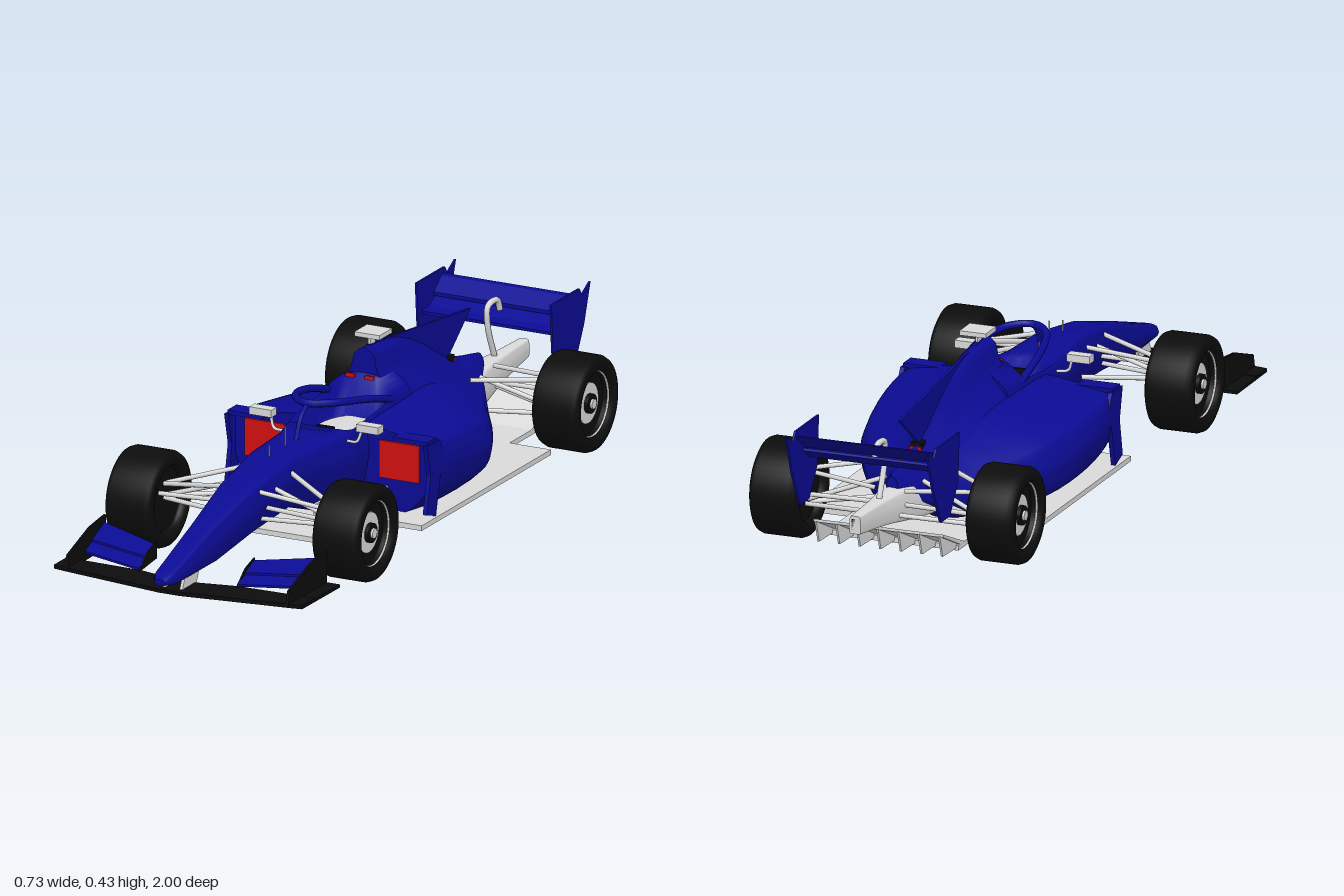
import * as THREE from 'three';

const mat = (name, color, side = THREE.FrontSide) => {
  const m = new THREE.MeshStandardMaterial({ color, side });
  m.name = name;
  return m;
};

export function createModel() {
  const blue = mat('blue paint', 0x0b0b94), white = mat('white', 0xdadada);
  const black = mat('black', 0x0c0c0c, THREE.DoubleSide), red = mat('red', 0xd01010);
  const car = new THREE.Group();
  car.name = 'racingCar';

  const add = (name, geo, m, parent = car) => {
    const mesh = new THREE.Mesh(geo, m);
    mesh.name = name;
    parent.add(mesh);
    return mesh;
  };
  const box = (name, m, w, h, d, x, y, z) =>
    add(name, new THREE.BoxGeometry(w, h, d).translate(x, y, z), m);
  const V = (p) => new THREE.Vector3(...p);
  const tube = (name, m, pts, r, closed = false) =>
    add(name, new THREE.TubeGeometry(new THREE.CatmullRomCurve3(pts.map(V), closed), pts.length > 2 ? 40 : 1, r, 8, closed), m);
  const shapeOf = (pts) => new THREE.Shape(pts.map((p) => new THREE.Vector2(...p)));
  // outline in (z, y), thickness along x, centred on x
  const plate = (name, m, pts, x, t) => add(name,
    new THREE.ExtrudeGeometry(shapeOf(pts), { depth: t, bevelEnabled: false }).rotateY(-Math.PI / 2).translate(x + t / 2, 0, 0), m);
  // outline in (x, z), from y up by t
  const slab = (name, m, pts, y, t) => add(name,
    new THREE.ExtrudeGeometry(shapeOf(pts), { depth: t, bevelEnabled: false }).rotateX(Math.PI / 2).translate(0, y + t, 0), m);
  const mirrored = (half) => [...half, ...half.slice().reverse().map(([x, z]) => [-x, z])];
  const sides = (fn) => [1, -1].forEach(fn);

  // Skin over closed rings [z, points]; rings run counterclockwise seen from the front, front to back
  function loft(name, m, sections, steps = 4, n = 40) {
    const rings = sections.map(([z, pts]) => {
      const c = new THREE.CatmullRomCurve3(pts.map(([x, y]) => new THREE.Vector3(x, y, z)), true, 'catmullrom', 0.28);
      return Array.from({ length: n }, (_, i) => c.getPoint(i / n));
    });
    const rails = Array.from({ length: n }, (_, i) => new THREE.CatmullRomCurve3(rings.map((r) => r[i])));
    const rows = (rings.length - 1) * steps, pos = [], idx = [];
    for (let k = 0; k <= rows; k++) for (const rail of rails) pos.push(...rail.getPoint(k / rows).toArray());
    for (let k = 0; k < rows; k++) for (let i = 0; i < n; i++) {
      const j = (i + 1) % n, a = k * n + i, b = k * n + j;
      idx.push(a, a + n, b, b, a + n, b + n);
    }
    [rings[0], rings[rings.length - 1]].forEach((ring, end) => {
      const s = pos.length / 3, mid = new THREE.Vector3();
      ring.forEach((p) => { mid.addScaledVector(p, 1 / n); pos.push(...p.toArray()); });
      pos.push(...mid.toArray());
      for (let i = 0; i < n; i++) {
        const j = (i + 1) % n;
        end ? idx.push(s + n, s + j, s + i) : idx.push(s + n, s + i, s + j);
      }
    });
    const g = new THREE.BufferGeometry();
    g.setAttribute('position', new THREE.Float32BufferAttribute(pos, 3));
    g.setIndex(idx);
    g.computeVertexNormals();
    return add(name, g, m);
  }
  // half ring from bottom centre to top centre, completed by mirroring
  const sym = (half) => [...half, ...half.slice(1, -1).reverse().map(([x, y]) => [-x, y])];

  // Nose and tub, with a sunken cockpit
  loft('noseAndTub', blue, [
    [1.0, [[0, .08], [.012, .081], [.016, .087], [.014, .093], [.008, .095], [0, .096]]],
    [.97, [[0, .075], [.026, .077], [.032, .09], [.026, .105], [.014, .109], [0, .11]]],
    [.76, [[0, .08], [.038, .084], [.043, .13], [.034, .17], [.018, .175], [0, .176]]],
    [.57, [[0, .105], [.044, .108], [.058, .17], [.05, .222], [.025, .23], [0, .231]]],
    [.38, [[0, .12], [.05, .122], [.072, .2], [.062, .25], [.03, .257], [0, .258]]],
    [.2, [[0, .06], [.058, .06], [.09, .18], [.076, .248], [.035, .257], [0, .258]]],
    [.13, [[0, .04], [.07, .04], [.1, .18], [.086, .255], [.04, .258], [0, .258]]],
    [.11, [[0, .04], [.07, .04], [.103, .18], [.09, .258], [.058, .205], [0, .195]]],
    [-.08, [[0, .04], [.08, .04], [.11, .18], [.095, .28], [.062, .205], [0, .195]]],
    [-.1, [[0, .04], [.08, .04], [.11, .18], [.095, .285], [.05, .325], [0, .33]]],
    [-.2, [[0, .04], [.08, .04], [.11, .18], [.09, .28], [.045, .32], [0, .33]]],
  ].map(([z, h]) => [z, sym(h)]), 1);
  slab('cockpitLining', white, Array.from({ length: 24 }, (_, i) => {
    const a = i / 24 * Math.PI * 2;
    return [.06 * Math.cos(a), .01 + .105 * Math.sin(a)];
  }), .215, .006);
  box('steeringWheel', black, .05, .025, .01, 0, .235, .09);

  // Engine cover with air intake and fin
  loft('engineCover', blue, [
    [-.12, [[0, .2], [.09, .22], [.085, .28], [.04, .335], [.028, .38], [0, .4]]],
    [-.28, [[0, .1], [.12, .12], [.11, .23], [.045, .31], [.02, .365], [0, .382]]],
    [-.43, [[0, .07], [.13, .08], [.12, .19], [.05, .26], [.014, .305], [0, .325]]],
    [-.57, [[0, .07], [.1, .08], [.095, .15], [.045, .205], [.012, .235], [0, .245]]],
    [-.75, [[0, .15], [.012, .155], [.016, .175], [.013, .19], [.006, .2], [0, .202]]],
  ].map(([z, h]) => [z, sym(h)]));
  plate('engineFin', blue, [[-.14, .4], [-.7, .336], [-.55, .22], [-.3, .3]], 0, .008);
  box('exhaustOutlet', black, .03, .02, .03, 0, .236, -.575);
  sides((s) => {
    box('headrestInlet', red, .026, .01, .006, s * .028, .326, -.099);
    box('coverOutlet', red, .012, .02, .006, s * .01, .226, -.592);
  });

  // Side pods, intakes and corner vanes
  const pod = [
    [.05, [[.08, .035], [.21, .035], [.275, .1], [.288, .17], [.275, .23], [.18, .243], [.08, .245]]],
    [-.04, [[.08, .035], [.23, .035], [.285, .09], [.3, .16], [.285, .22], [.18, .246], [.08, .255]]],
    [-.29, [[.08, .035], [.22, .035], [.265, .07], [.275, .13], [.25, .19], [.17, .23], [.07, .255]]],
    [-.43, [[.06, .035], [.16, .035], [.2, .07], [.21, .115], [.19, .165], [.13, .205], [.05, .23]]],
    [-.56, [[.03, .05], [.09, .05], [.125, .08], [.13, .115], [.115, .15], [.085, .175], [.03, .2]]],
    [-.66, [[.01, .12], [.04, .12], [.06, .13], [.065, .145], [.06, .16], [.04, .175], [.01, .185]]],
  ];
  sides((s) => {
    loft('sidePod', blue, pod.map(([z, p]) => [z, s > 0 ? p : p.map(([x, y]) => [-x, y]).reverse()]));
    box('sideIntake', red, .115, .1, .008, s * .195, .17, .052);
    plate('cornerVane', blue, [[.09, .05], [.04, .035], [.0, .2], [.02, .235], [.09, .235], [.07, .15]], s * .288, .012);
    box('vaneBridge', blue, .1, .012, .05, s * .24, .237, .055);
    // Turning vane ahead of the pod
    const path = [[.1, .345], [.107, .25], [.135, .18], [.195, .125]];
    const outline = [...path, ...path.slice().reverse().map(([x, z]) => [x + .007, z + .004])];
    slab('turningVane', white, outline.map(([x, z]) => [s * x, z]), .035, .092);
    // Mirror
    box('mirror', white, .064, .02, .03, s * .155, .279, .14);
    tube('mirrorStay', white, [[s * .09, .235, .14], [s * .12, .24, .145], [s * .132, .272, .14]], .004);
  });

  // Floor, diffuser and gearbox
  slab('floor', white, mirrored([[.11, .345], [.11, .13], [.3, .13], [.3, -.58], [.18, -.58], [.18, -.74]]), .021, .014);
  plate('diffuserRamp', white, [[-.7, .022], [-.84, .085], [-.84, .093], [-.7, .035]], 0, .36);
  for (let i = -3; i <= 3; i++)
    plate('diffuserStrake', white, [[-.7, .025], [-.83, .03], [-.85, .09], [-.7, .035]], i * .057, .005);
  loft('gearbox', white, [
    [-.5, sym([[0, .06], [.085, .07], [.09, .12], [.07, .165], [0, .175]])],
    [-.66, sym([[0, .07], [.05, .075], [.055, .12], [.045, .165], [0, .175]])],
    [-.84, sym([[0, .1], [.025, .102], [.028, .135], [.022, .165], [0, .17]])],
    [-1, sym([[0, .12], [.014, .121], [.016, .145], [.013, .166], [0, .168]])],
  ]);
  box('rainLight', black, .018, .03, .004, 0, .145, -.998);

  // Halo
  tube('haloRing', blue, [[.088, .27, -.12], [.092, .3, -.03], [.085, .322, .06], [.055, .335, .15], [0, .337, .19],
    [-.055, .335, .15], [-.085, .322, .06], [-.092, .3, -.03], [-.088, .27, -.12]], .01);
  tube('haloStrut', blue, [[0, .335, .19], [0, .31, .225], [0, .25, .255]], .006);

  // Roof camera and sensors
  box('cameraPod', white, .073, .012, .07, 0, .424, -.172);
  box('cameraStem', white, .006, .025, .03, 0, .408, -.165);
  for (const [z, h] of [[.31, .31], [.4, .285], [.24, .28]])
    tube('antenna', white, [[0, .25, z], [0, h, z]], .002);

  // Front wing
  slab('frontWingPlane', black, mirrored([[0, .95], [.335, .905], [.36, .9], [.36, .83], [.14, .835], [0, .865]].slice(1)
    .concat([[.03, .86]])).concat([[-.03, .95], [.03, .95]]), .042, .01);
  sides((s) => {
    const flap = (n, a, b) => slab(n, blue, [[s * .142, a], [s * .315, a - .03], [s * .315, b - .05], [s * .142, b]], 0, .006);
    // flap elements pitched up towards the rear
    const tilt = (mesh, z0, y0, k) => {
      const p = mesh.geometry.attributes.position;
      for (let i = 0; i < p.count; i++) p.setY(i, p.getY(i) + y0 + Math.max(0, z0 - p.getZ(i)) * k);
      mesh.geometry.computeVertexNormals();
    };
    tilt(flap('lowerFlap', .845, .8), .845, .054, .36);
    tilt(flap('upperFlap', .805, .755), .805, .074, .38);
    plate('flapInnerFence', black, [[.85, .05], [.75, .06], [.75, .105], [.8, .09]], s * .142, .004);
    plate('frontEndplate', black, [[.91, .045], [.695, .045], [.695, .135], [.78, .125], [.9, .085]], s * .32, .007);
    slab('footPlate', black, [[s * .318, .905], [s * .36, .9], [s * .362, .695], [s * .32, .695]], .042, .008);
    plate('nosePylon', white, [[.93, .05], [.85, .05], [.83, .095], [.91, .09]], s * .024, .008);
  });

  // Rear wing
  plate('rearMainPlane', blue, [[-.8, .262], [-.84, .258], [-.885, .288], [-.882, .294], [-.84, .272], [-.8, .27]], 0, .388);
  plate('rearFlap', blue, [[-.868, .292], [-.915, .325], [-.925, .337], [-.91, .335], [-.868, .302]], 0, .388);
  sides((s) => plate('rearEndplate', blue,
    [[-.775, .352], [-.93, .352], [-.945, .33], [-.99, .355], [-.955, .25], [-.9, .145], [-.84, .145], [-.785, .22]], s * .195, .006));
  tube('rearWingSupport', white, [[0, .16, -.84], [0, .26, -.8], [0, .31, -.8], [0, .315, -.85], [0, .28, -.87]], .008);

  // Wheels: tyre, recessed rim face and hub
  const tyre = [[.086, -.05], [.092, -.0655], [.112, -.0655], [.123, -.06], [.128, -.048], [.128, .048],
    [.123, .06], [.112, .0655], [.092, .0655], [.086, .05], [.084, 0], [.086, -.05]].map((p) => new THREE.Vector2(...p));
  const wheel = (name, s, z) => {
    const g = new THREE.Group();
    g.name = name;
    g.position.set(s * .3, .128, z);
    g.rotation.z = -s * Math.PI / 2;
    add('tyre', new THREE.LatheGeometry(tyre, 48), black, g);
    const disc = (n, m, r, y, h) => add(n, new THREE.CylinderGeometry(r, r, h, 32).translate(0, y, 0), m, g);
    disc('rimFace', black, .085, -.005, .08);
    add('rimRing', new THREE.TorusGeometry(.087, .003, 6, 40).rotateX(Math.PI / 2).translate(0, .05, 0), white, g);
    disc('hubFace', white, .054, .0, .078);
    disc('hubRing', black, .026, .01, .08);
    disc('wheelNut', white, .013, .016, .08);
    car.add(g);
  };

  // Suspension arms: inner end to outer end, for the left side
  const arms = [
    [[.065, .22, .4], [.25, .172, .49]], [[.05, .21, .55], [.25, .172, .5]],
    [[.06, .145, .38], [.25, .135, .48]], [[.045, .135, .54], [.25, .135, .5]],
    [[.06, .2, .48], [.25, .14, .49]], [[.055, .16, .52], [.25, .155, .53]],
    [[.07, .19, -.57], [.25, .18, -.7]], [[.04, .17, -.76], [.25, .18, -.72]],
    [[.06, .1, -.6], [.25, .09, -.7]], [[.03, .11, -.78], [.25, .09, -.72]],
    [[.05, .17, -.66], [.25, .1, -.71]], [[.03, .13, -.75], [.25, .13, -.76]],
  ];
  sides((s) => {
    wheel('frontWheel', s, .493);
    wheel('rearWheel', s, -.712);
    arms.forEach((a) => tube('suspensionArm', white, a.map(([x, y, z]) => [s * x, y, z]), .0065));
  });
  return car;
}
